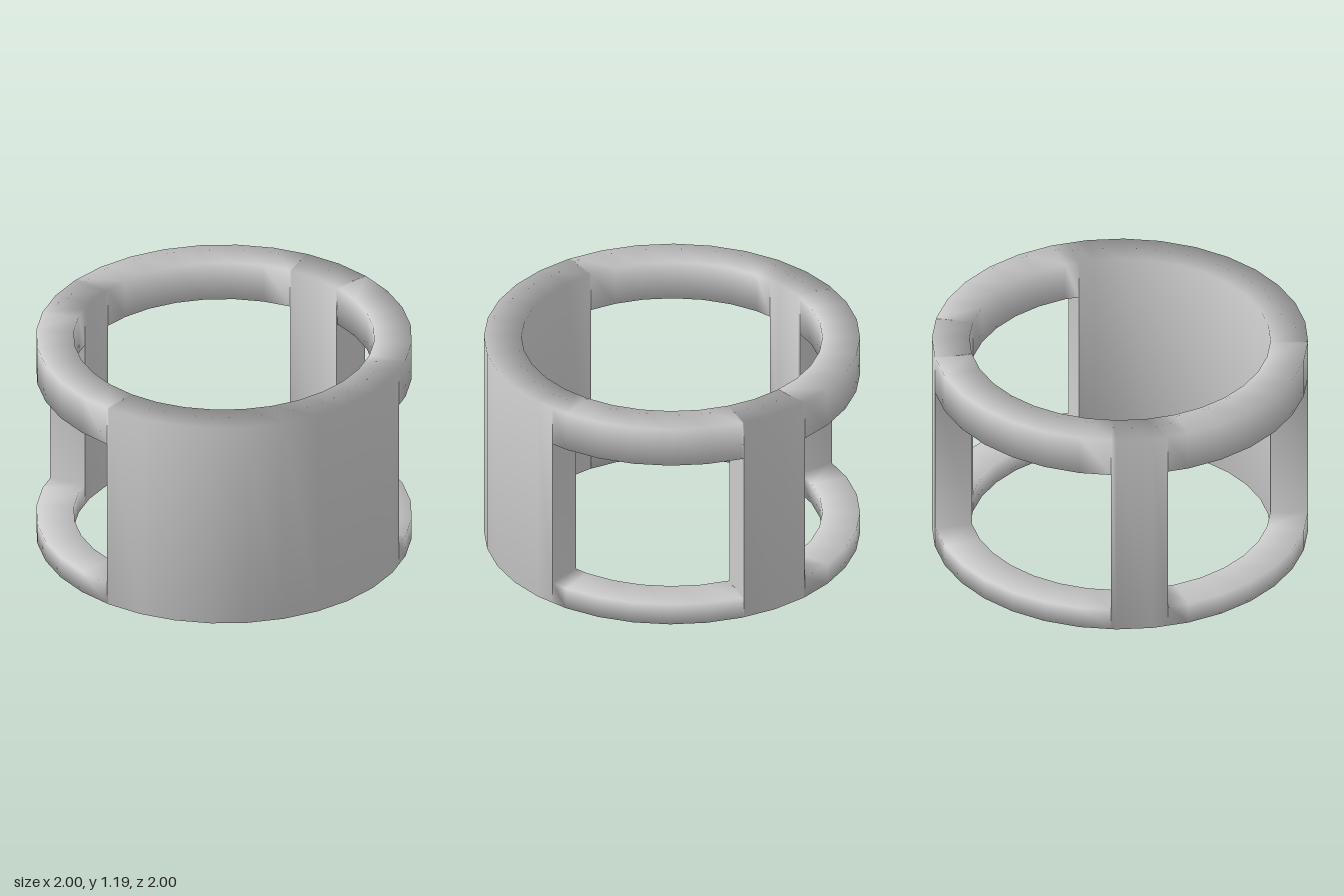
import * as THREE from 'three';

const SIDES = 32;
const OUTER = 1, INNER = 0.8;
const LEVELS = [0, 0.12, 0.97, 1.19]; // base, sill, lintel, top
// windows as [start, end] in degrees, turning from +x towards +z
const WINDOWS = [[101.9, 175.3], [192.8, 269.5], [292, 354.2]];

// cross-section loops over corner numbers: 0-3 outer going up, 4-7 inner going up
const WALL = [[0, 3, 7, 4]];
const RINGS = [[0, 1, 5, 4], [2, 3, 7, 6]];

// point on the 32-sided outline, so that window cuts lie on its flat sides
function outline(deg) {
  const step = 360 / SIDES;
  const i = Math.floor(deg / step + 1e-6);
  const t = deg / step - i;
  const corner = (n) => {
    const a = (n / SIDES) * Math.PI * 2;
    return new THREE.Vector2(Math.cos(a), Math.sin(a));
  };
  return corner(i).lerp(corner(i + 1), t);
}

function bandGeometry() {
  const angles = WINDOWS.flat();
  for (let i = 0; i < SIDES; i++) angles.push((i * 360) / SIDES);
  angles.sort((a, b) => a - b);

  const positions = [];
  for (const angle of angles) {
    const p = outline(angle);
    for (const r of [OUTER, INNER]) {
      for (const y of LEVELS) positions.push(p.x * r, y, p.y * r);
    }
  }

  const index = [];
  const quad = (a, b, c, d) => index.push(a, b, c, a, c, d);

  angles.forEach((angle, i) => {
    const here = i * 8;
    const next = ((i + 1) % angles.length) * 8;
    const open = WINDOWS.some(([s, e]) => angle >= s && angle < e);

    // full wall, or an upper and a lower ring beside a window
    for (const loop of open ? RINGS : WALL) {
      loop.forEach((k, j) => {
        const m = loop[(j + 1) % 4];
        quad(here + k, here + m, next + m, next + k);
      });
    }

    // upright sides of the windows
    for (const [s, e] of WINDOWS) {
      if (angle === s) quad(here + 1, here + 2, here + 6, here + 5);
      if (angle === e) quad(here + 5, here + 6, here + 2, here + 1);
    }
  });

  const geometry = new THREE.BufferGeometry();
  geometry.setAttribute('position', new THREE.Float32BufferAttribute(positions, 3));
  geometry.setIndex(index);
  geometry.computeVertexNormals(); // shared corners give the soft, rounded look
  return geometry;
}

export function createModel() {
  const group = new THREE.Group();
  group.name = 'windowedRing';
  const band = new THREE.Mesh(
    bandGeometry(),
    new THREE.MeshStandardMaterial({ color: 0xcccccc })
  );
  band.name = 'bandWithWindows';
  group.add(band);
  return group;
}
